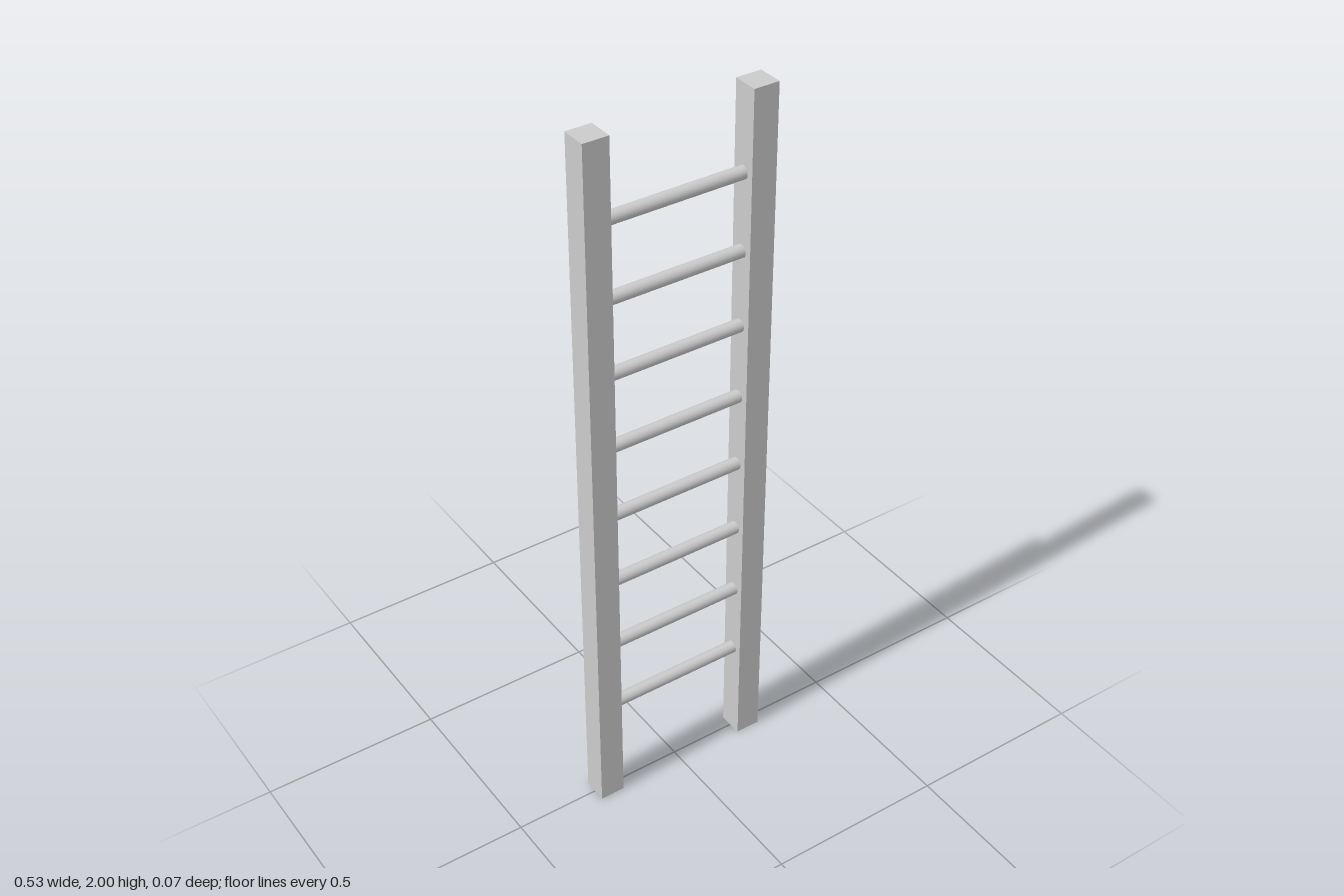
import * as THREE from 'three';

export function createModel() {
  const group = new THREE.Group();
  const material = new THREE.MeshStandardMaterial({ color: 0xcccccc });

  const railSize = 0.07;
  const railX = 0.228;
  const rungRadius = 0.0175;
  const rungCount = 8;
  const firstRungY = 0.3;
  const lastRungY = 1.775;

  // Square side rails
  const railGeometry = new THREE.BoxGeometry(railSize, 2, railSize);
  for (const [name, side] of [['leftRail', 1], ['rightRail', -1]]) {
    const rail = new THREE.Mesh(railGeometry, material);
    rail.name = name;
    rail.position.set(side * railX, 1, 0);
    group.add(rail);
  }

  // Round rungs, spanning the gap between the rails
  const rungLength = 2 * railX - railSize + 0.004;
  const rungGeometry = new THREE.CylinderGeometry(rungRadius, rungRadius, rungLength, 24);
  rungGeometry.rotateZ(Math.PI / 2);
  for (let i = 0; i < rungCount; i++) {
    const rung = new THREE.Mesh(rungGeometry, material);
    rung.name = `rung${i + 1}`;
    rung.position.y = THREE.MathUtils.lerp(firstRungY, lastRungY, i / (rungCount - 1));
    group.add(rung);
  }

  return group;
}
